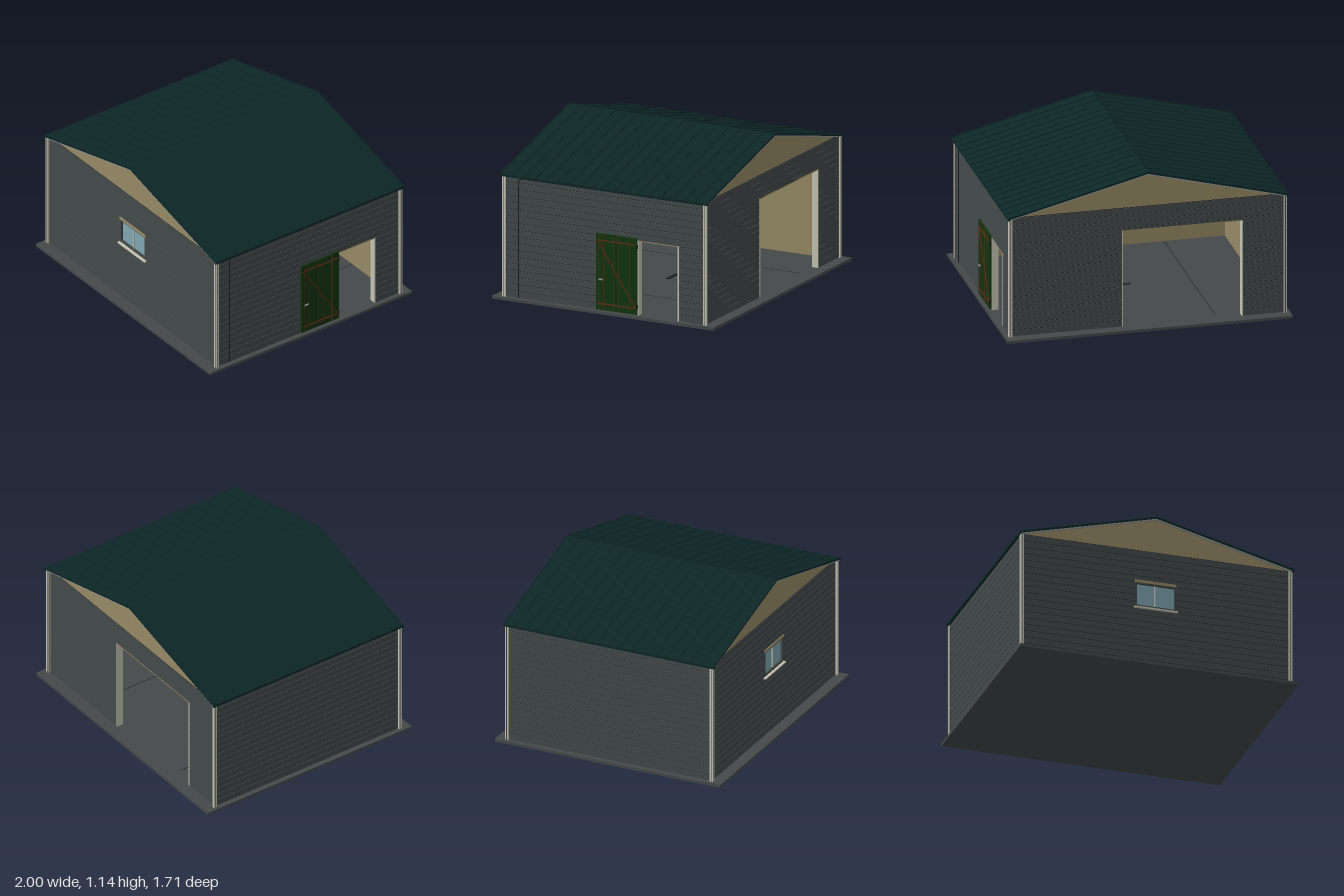
import * as THREE from 'three';
import { mergeGeometries } from 'three/addons/utils/BufferGeometryUtils.js';

const mat = (name, color) => {
  const m = new THREE.MeshStandardMaterial({ color });
  m.name = name;
  return m;
};

export function createModel() {
  const M = {
    wall: mat('wall grey', 0x43494a),
    slab: mat('concrete', 0x44494a),
    beige: mat('beige', 0x968964),
    roof: mat('dark teal', 0x0d2626),
    green: mat('door green', 0x10340f),
    brown: mat('red brown', 0x5e2a12),
    glass: mat('window glass', 0x80a5b1),
    pale: mat('pale trim', 0xc4c3b2),
    dark: mat('dark joint', 0x1a1e1f),
    metal: mat('grey metal', 0x8f9694),
  };
  const model = new THREE.Group();
  model.name = 'garage';

  const add = (parent, name, geo, material) => {
    const mesh = new THREE.Mesh(geo, material);
    mesh.name = name;
    parent.add(mesh);
    return mesh;
  };
  // Box given by its limits on each axis
  const boxGeo = (x0, x1, y0, y1, z0, z1) =>
    new THREE.BoxGeometry(x1 - x0, y1 - y0, z1 - z0)
      .translate((x0 + x1) / 2, (y0 + y1) / 2, (z0 + z1) / 2);
  const box = (parent, name, material, ...limits) => add(parent, name, boxGeo(...limits), material);

  // Cuts the strip y0..y1 of a wall into rectangles around its openings
  const BASE = 0.02, TOP = 0.885;
  const cutStrip = (half, y0, y1, openings) => {
    const ys = [y0, y1];
    openings.forEach(o => [o[2], o[3]].forEach(y => { if (y > y0 && y < y1) ys.push(y); }));
    ys.sort((a, b) => a - b);
    const out = [];
    for (let i = 0; i < ys.length - 1; i++) {
      const mid = (ys[i] + ys[i + 1]) / 2;
      let u = -half;
      openings.filter(o => mid > o[2] && mid < o[3]).forEach(o => {
        out.push([u, o[0], ys[i], ys[i + 1]]);
        u = o[1];
      });
      out.push([u, half, ys[i], ys[i + 1]]);
    }
    return out;
  };

  // Wall with cladding courses, core and beige lining; local +z points outward
  const ROWS = 18, GAP = 0.0035;
  const makeWall = (name, half, dist, angle, openings = []) => {
    const g = new THREE.Group();
    g.name = name;
    g.rotation.y = angle;
    model.add(g);
    const layer = (rects, z0, z1) => mergeGeometries(rects.map(r => boxGeo(...r, z0, z1)));
    const full = cutStrip(half, BASE, TOP, openings);
    const h = (TOP - BASE) / ROWS;
    const courses = [];
    for (let i = 0; i < ROWS; i++)
      courses.push(...cutStrip(half, BASE + i * h, BASE + (i + 1) * h - GAP, openings));
    add(g, 'claddingCourses', layer(courses, dist - 0.004, dist), M.wall);
    add(g, 'wallCore', layer(full, dist - 0.03, dist - 0.004), M.dark);
    add(g, 'innerLining', layer(full, dist - 0.045, dist - 0.03), M.beige);
    return g;
  };

  // Slab and floor details
  box(model, 'baseSlab', M.slab, -1, 1, 0, BASE, -0.855, 0.855);
  for (const s of [-1, 1])
    box(model, 'floorJoint', M.dark, s * 0.49 - 0.002, s * 0.49 + 0.002, BASE, 0.021, -0.72, 0.72);
  for (let i = 0; i < 8; i++) {
    const x = -0.07 + i * 0.018;
    box(model, 'floorGrate', M.dark, x, x + 0.013, BASE, 0.023, -0.015, 0.015);
  }

  // Walls
  const FZ = 0.772, SX = 0.963;
  const front = makeWall('frontWall', 0.955, FZ, 0, [[-0.145, 0.145, 0.465, 0.64]]);
  const side = makeWall('leftWall', 0.765, SX, Math.PI / 2, [[0.25, 0.57, BASE, 0.55]]);
  const back = makeWall('backWall', 0.955, FZ, Math.PI, [[-0.18, 0.67, BASE, 0.72]]);
  makeWall('rightWall', 0.765, SX, -Math.PI / 2);

  // Front window
  box(front, 'windowGlass', M.glass, -0.14, 0.14, 0.468, 0.638, FZ - 0.03, FZ - 0.014);
  for (const s of [-1, 1])
    box(front, 'windowSideFrame', M.wall, s * 0.14 - 0.005, s * 0.14 + 0.005, 0.465, 0.64, FZ - 0.045, FZ + 0.002);
  for (const y of [0.465, 0.632])
    box(front, 'windowRail', M.wall, -0.145, 0.145, y, y + 0.008, FZ - 0.045, FZ + 0.001);
  box(front, 'windowMullion', M.pale, -0.003, 0.003, 0.47, 0.635, FZ - 0.035, FZ - 0.008);
  box(front, 'windowLintel', M.beige, -0.147, 0.147, 0.641, 0.66, FZ - 0.01, FZ + 0.006);
  box(front, 'windowSill', M.pale, -0.155, 0.155, 0.447, 0.457, FZ - 0.01, FZ + 0.018);

  // Trim inside the doorways
  const doorway = (g, dist, u0, u1, y1) => {
    const w = 0.008;
    box(g, 'doorJamb', M.pale, u0, u0 + w, BASE, y1, dist - 0.046, dist + 0.003);
    box(g, 'doorJamb', M.pale, u1 - w, u1, BASE, y1, dist - 0.046, dist + 0.003);
    box(g, 'doorHead', M.beige, u0 + w, u1 - w, y1 - 0.006, y1, dist - 0.046, dist + 0.001);
  };
  doorway(side, SX, 0.25, 0.57, 0.55);
  doorway(back, FZ, -0.18, 0.67, 0.72);

  // Side door, folded open flat against the wall
  const door = new THREE.Group();
  door.name = 'sideDoor';
  side.add(door);
  box(door, 'doorLeaf', M.green, -0.065, 0.25, 0.025, 0.565, SX + 0.002, SX + 0.014);
  for (const u of [-0.045, -0.006, 0.075, 0.112, 0.192])
    box(door, 'plankJoint', M.brown, u - 0.002, u + 0.002, 0.025, 0.565, SX + 0.012, SX + 0.0155);
  for (const y of [0.07, 0.518])
    box(door, 'crossBrace', M.brown, -0.05, 0.24, y - 0.004, y + 0.004, SX + 0.012, SX + 0.019);
  const dx = 0.29, dy = -0.44;
  const brace = add(door, 'diagonalBrace', new THREE.BoxGeometry(Math.hypot(dx, dy), 0.007, 0.006), M.brown);
  brace.position.set(0.095, 0.294, SX + 0.016);
  brace.rotation.z = Math.atan2(dy, dx);
  box(door, 'doorHandle', M.metal, -0.04, -0.008, 0.238, 0.246, SX + 0.012, SX + 0.022);
  for (const y of [0.08, 0.505])
    box(door, 'hinge', M.dark, 0.245, 0.254, y - 0.014, y + 0.014, SX, SX + 0.017);

  // Overhead door, raised flat under the roof
  const overhead = new THREE.Group();
  overhead.name = 'overheadDoor';
  model.add(overhead);
  box(overhead, 'doorBacking', M.dark, -0.67, 0.18, 0.736, 0.744, -0.725, -0.06);
  const N = 8, pitch = 0.665 / N;
  for (let i = 0; i < N; i++) {
    const z = -0.725 + i * pitch;
    box(overhead, 'doorSlat', M.pale, -0.67, 0.18, 0.729, 0.738, z, z + pitch - 0.012);
  }
  for (const x of [-0.68, 0.19])
    box(overhead, 'doorTrack', M.metal, x - 0.005, x + 0.005, 0.728, 0.742, -0.727, 0);

  // Corner posts, each with a dark groove on both outer faces
  for (const sx of [-1, 1]) for (const sz of [-1, 1]) {
    const post = new THREE.Group();
    post.name = 'cornerPost';
    post.position.set(sx * 0.965, 0, sz * 0.777);
    model.add(post);
    box(post, 'postBody', M.pale, -0.0125, 0.0125, BASE, 0.878, -0.0125, 0.0125);
    box(post, 'postGroove', M.wall, -0.002, 0.002, BASE, 0.875, -0.0135, 0.0135);
    box(post, 'postGroove', M.wall, -0.0135, 0.0135, BASE, 0.875, -0.002, 0.002);
  }

  // Conduit up the side wall, bending along the eave
  const pipe = new THREE.CurvePath();
  const P = (y, z) => new THREE.Vector3(SX + 0.003, y, z);
  pipe.add(new THREE.LineCurve3(P(BASE, 0.67), P(0.84, 0.67)));
  pipe.add(new THREE.QuadraticBezierCurve3(P(0.84, 0.67), P(0.868, 0.67), P(0.868, 0.64)));
  pipe.add(new THREE.LineCurve3(P(0.868, 0.64), P(0.868, -0.76)));
  add(model, 'conduit', new THREE.TubeGeometry(pipe, 90, 0.004, 6), M.dark);

  // Gables
  const tri = new THREE.Shape([[-0.955, TOP], [0.955, TOP], [0, 1.13]].map(p => new THREE.Vector2(...p)));
  for (const s of [-1, 1])
    add(model, 'gable', new THREE.ExtrudeGeometry(tri, { depth: 0.04, bevelEnabled: false })
      .translate(0, 0, s * 0.748 - 0.02), M.beige);

  // Roof sheet, ribs and verge trims share one chevron section
  const chevron = (name, material, half, eave, ridge, thick, depth, z) => {
    const pts = [[-half, eave], [-half, eave - thick], [0, ridge - thick], [half, eave - thick], [half, eave], [0, ridge]];
    const shape = new THREE.Shape(pts.map(p => new THREE.Vector2(...p)));
    add(model, name, new THREE.ExtrudeGeometry(shape, { depth, bevelEnabled: false })
      .translate(0, 0, z - depth / 2), material);
  };
  chevron('roofSheet', M.roof, 0.983, 0.888, 1.138, 0.01, 1.596, 0);
  for (let i = 0; i <= 18; i++)
    chevron('roofRib', M.roof, 0.985, 0.892, 1.142, 0.01, 0.008, -0.795 + i * 1.59 / 18);
  for (const s of [-1, 1]) {
    chevron('vergeTrim', M.metal, 0.975, 0.88, 1.128, 0.009, 0.012, s * 0.788);
    box(model, 'eaveTrim', M.roof, s * 0.978 - 0.007, s * 0.978 + 0.007, 0.872, 0.887, -0.8, 0.8);
  }
  return model;
}
